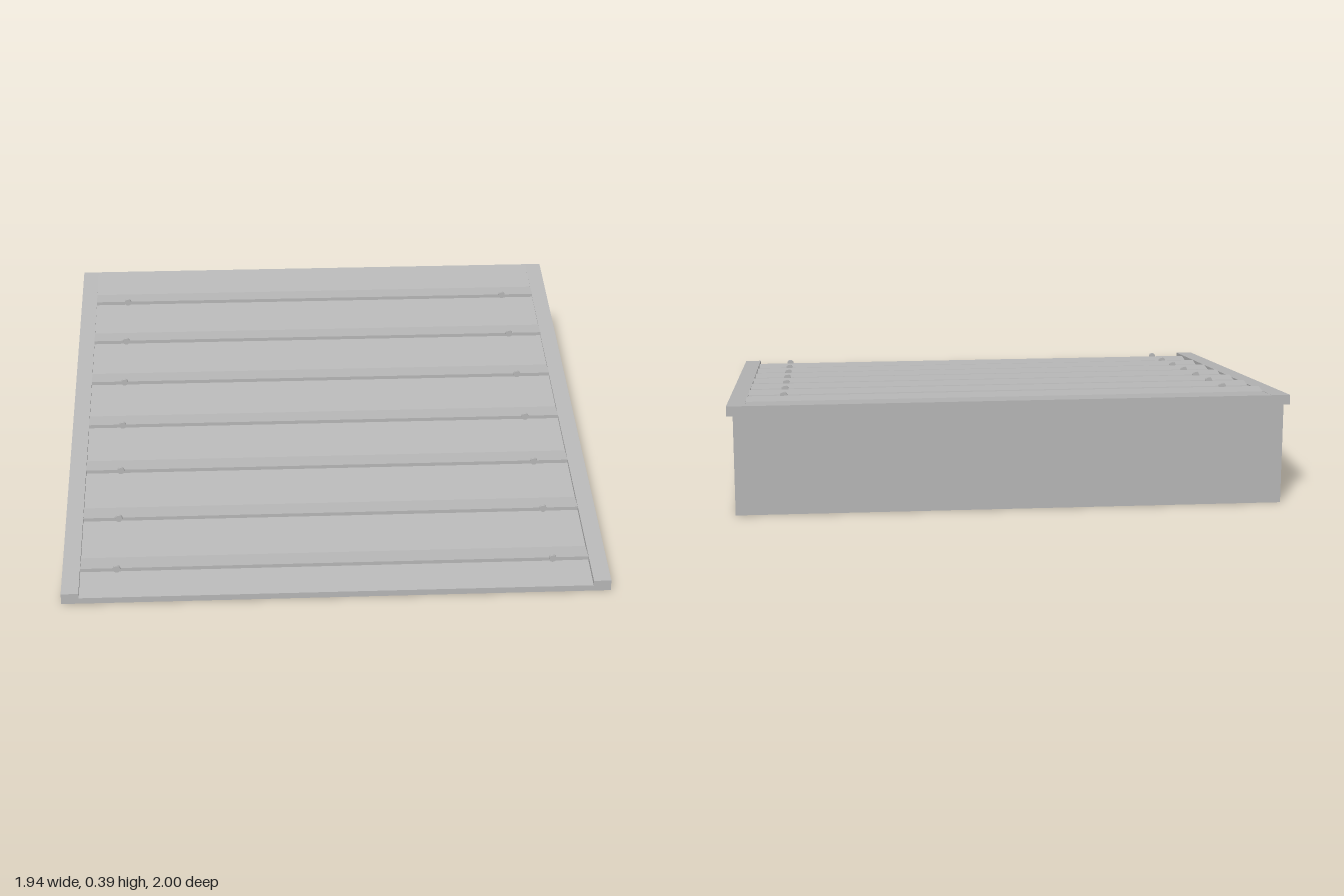
import * as THREE from 'three';

const grey = new THREE.MeshStandardMaterial({ color: 0xb6b6b6 });
grey.name = 'grey';

// Heights of the sloping surfaces at depth z
const underside = (z) => 0.1775 * (1 - z);
const railTop = (z) => 0.04 + 0.175 * (1 - z);
const deckTop = (z) => 0.022 + 0.184 * (1 - z);

// Side profile of [z, y] points, extruded across from x0 to x1
function prism(name, points, x0, x1) {
  const shape = new THREE.Shape(points.map(([z, y]) => new THREE.Vector2(z, y)));
  const geometry = new THREE.ExtrudeGeometry(shape, { depth: x1 - x0, bevelEnabled: false });
  geometry.rotateY(-Math.PI / 2).translate(x1, 0, 0);
  const mesh = new THREE.Mesh(geometry, grey);
  mesh.name = name;
  return mesh;
}

// Sloping slab between the underside and a top surface
function slab(name, top, x0, x1) {
  return prism(name, [[1, underside(1)], [1, top(1)], [-1, top(-1)], [-1, underside(-1)]], x0, x1);
}

export function createModel() {
  const model = new THREE.Group();
  model.name = 'ramp';

  // Solid wedge, slightly narrower than the slab on top
  model.add(prism('wedgeBase', [[1, 0], [-1, underside(-1)], [-1, 0]], -0.95, 0.95));

  // Recessed deck between two side rails
  model.add(slab('deck', deckTop, -0.91, 0.91));
  model.add(slab('leftRail', railTop, 0.91, 0.972));
  model.add(slab('rightRail', railTop, -0.972, -0.91));

  // Level cleats across the deck, each with two round pegs on its front lip
  const pegGeometry = new THREE.CylinderGeometry(0.013, 0.013, 0.012, 16).rotateX(Math.PI / 2);
  for (let i = 0; i < 7; i++) {
    const front = -0.76 + i * 0.271;
    const back = front - 0.073;
    const top = deckTop(back);
    const cleat = new THREE.Group();
    cleat.name = 'cleat' + (i + 1);
    cleat.add(prism('tread', [[back, top], [front, top], [front, deckTop(front) - 0.003]], -0.91, 0.91));
    for (const side of [-1, 1]) {
      const peg = new THREE.Mesh(pegGeometry, grey);
      peg.name = side > 0 ? 'leftPeg' : 'rightPeg';
      peg.position.set(side * 0.78, top, front + 0.004);
      cleat.add(peg);
    }
    model.add(cleat);
  }
  return model;
}
